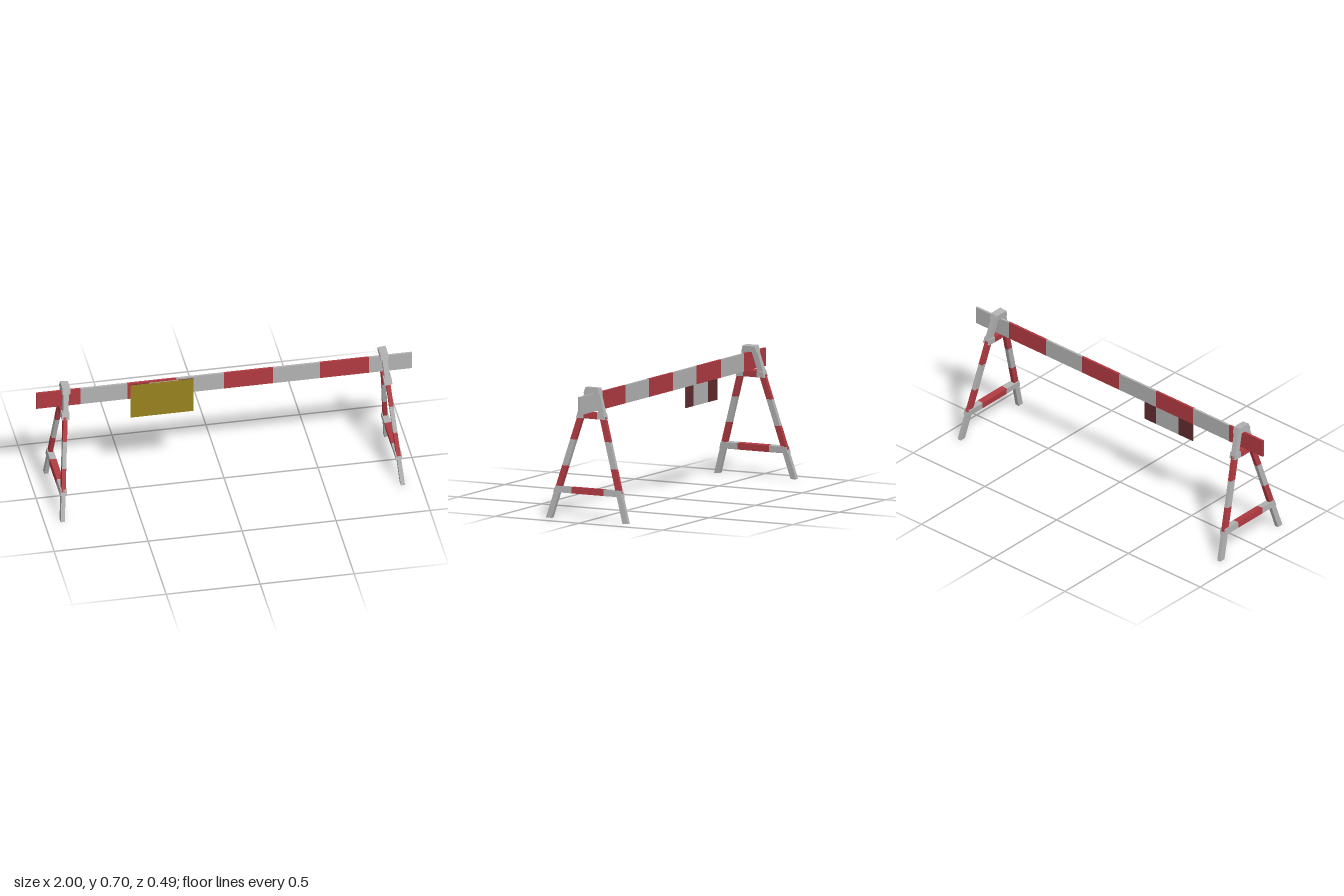
import * as THREE from 'three';

const material = (name, color) => {
  const m = new THREE.MeshStandardMaterial({ color });
  m.name = name;
  return m;
};

export function createModel() {
  const grey = material('grey', 0xb2b2b2);
  const red = material('red', 0xb03a41);
  const yellow = material('yellow', 0x97821f);
  const brown = material('darkRed', 0x5f2b2f);
  const model = new THREE.Group();
  model.name = 'roadBarrier';

  // Box given by its min and max corners
  const box = (parent, name, mat, x0, x1, y0, y1, z0, z1) => {
    const mesh = new THREE.Mesh(new THREE.BoxGeometry(x1 - x0, y1 - y0, z1 - z0), mat);
    mesh.position.set((x0 + x1) / 2, (y0 + y1) / 2, (z0 + z1) / 2);
    mesh.name = name;
    parent.add(mesh);
  };

  // Bar with z limits that change with height
  const bar = (parent, name, mat, y0, y1, zMin, zMax, width) => {
    const geo = new THREE.BoxGeometry(width, 1, 1);
    const p = geo.attributes.position;
    for (let i = 0; i < p.count; i++) {
      const y = p.getY(i) < 0 ? y0 : y1;
      p.setY(i, y);
      p.setZ(i, p.getZ(i) < 0 ? zMin(y) : zMax(y));
    }
    geo.computeVertexNormals();
    const mesh = new THREE.Mesh(geo, mat);
    mesh.name = name;
    parent.add(mesh);
  };

  // Striped plank
  const stops = [-1, -0.765, -0.515, -0.255, 0, 0.26, 0.51, 0.77, 1];
  for (let i = 0; i < 8; i++) {
    box(model, 'plank', i % 2 ? grey : red, stops[i], stops[i + 1], 0.57, 0.666, -0.006, 0.006);
  }

  // Hanging sign: yellow face on a striped back board
  box(model, 'signFace', yellow, -0.5, -0.165, 0.455, 0.658, 0.012, 0.0135);
  const board = [-0.5, -0.4, -0.245, -0.165];
  for (let i = 0; i < 3; i++) {
    box(model, 'signBack', i === 1 ? grey : brown, board[i], board[i + 1], 0.455, 0.658, 0.007, 0.012);
  }

  // A-shaped trestles leaning inwards
  const outer = y => 0.245 - 0.298 * y;
  const inner = y => outer(y) - 0.033;
  const legBands = [
    [0, 0.155, grey, 0.022], [0.155, 0.28, red, 0.022], [0.28, 0.42, grey, 0.022],
    [0.42, 0.55, red, 0.022], [0.55, 0.68, grey, 0.028],
  ];
  // y0, y1, half-length of the red middle, width
  const crossbars = [[0.137, 0.171, 0.095, 0.035], [0.535, 0.569, 0.04, 0.042]];
  for (const side of [1, -1]) {
    const trestle = new THREE.Group();
    trestle.name = side > 0 ? 'leftTrestle' : 'rightTrestle';
    const frame = new THREE.Group();
    frame.name = 'frame';
    frame.position.set(0.905, 0.001, 0);
    frame.rotation.z = 0.0855;
    for (const [y0, y1, mat, width] of legBands) {
      bar(frame, 'frontLeg', mat, y0, y1, inner, outer, width);
      bar(frame, 'backLeg', mat, y0, y1, y => -outer(y), y => -inner(y), width);
    }
    for (const [y0, y1, mid, width] of crossbars) {
      bar(frame, 'crossbarMiddle', red, y0, y1, () => -mid, () => mid, width);
      bar(frame, 'crossbarEnd', grey, y0, y1, () => mid, outer, width);
      bar(frame, 'crossbarEnd', grey, y0, y1, y => -outer(y), () => -mid, width);
    }
    bar(frame, 'topCap', grey, 0.668, 0.7, y => -outer(y), outer, 0.042);
    trestle.add(frame);
    if (side < 0) trestle.rotation.y = Math.PI;
    model.add(trestle);
  }
  return model;
}
